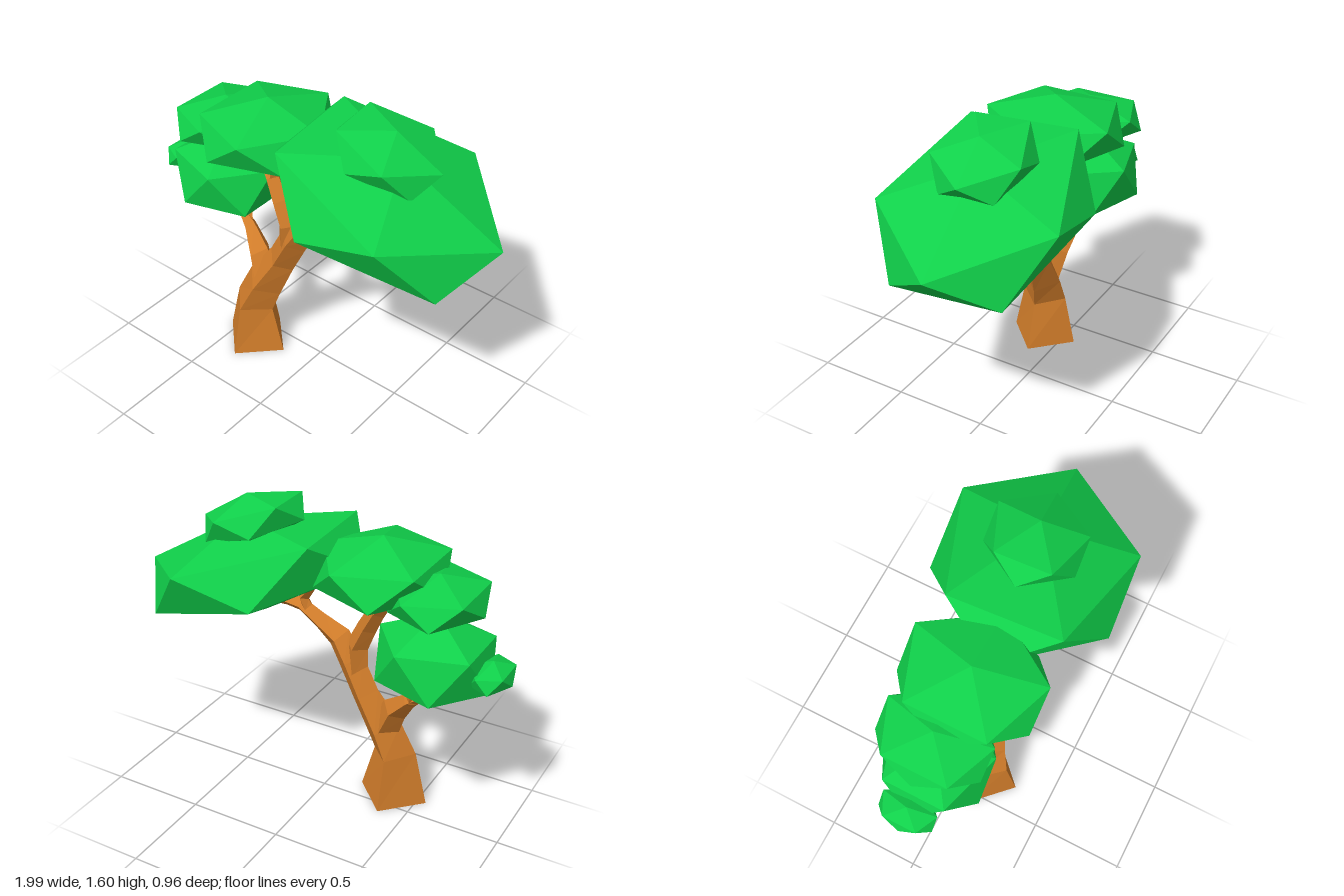
import * as THREE from 'three';

const bark = new THREE.MeshStandardMaterial({ color: 0xd07c2a, flatShading: true });
const leaf = new THREE.MeshStandardMaterial({ color: 0x10d04a, flatShading: true });

function facetedMesh(name, triangles, material) {
  const geometry = new THREE.BufferGeometry().setFromPoints(triangles);
  geometry.computeVertexNormals();
  const mesh = new THREE.Mesh(geometry, material);
  mesh.name = name;
  return mesh;
}

// Four-sided tapering limb; each station is [x, y, z, side radius, depth radius]
function limb(name, stations) {
  const zAxis = new THREE.Vector3(0, 0, 1);
  const centres = stations.map(([x, y, z]) => new THREE.Vector3(x, y, z));
  const last = centres.length - 1;
  const rings = centres.map((c, i) => {
    const along = centres[Math.min(i + 1, last)].clone().sub(centres[Math.max(i - 1, 0)]);
    const side = along.cross(zAxis).normalize();
    const [, , , rs, rz = rs] = stations[i];
    return [[0, 1], [1, 0], [0, -1], [-1, 0]].map(([s, d]) =>
      c.clone().addScaledVector(side, s * rs).addScaledVector(zAxis, d * rz));
  });
  const tris = [];
  for (let i = 0; i < last; i++) {
    for (let k = 0; k < 4; k++) {
      const n = (k + 1) % 4;
      const [a, b, c, d] = [rings[i][k], rings[i][n], rings[i + 1][n], rings[i + 1][k]];
      tris.push(a, b, c, a, c, d);
    }
  }
  const [s, e] = [rings[0], rings[last]];
  tris.push(s[0], s[2], s[1], s[0], s[3], s[2], e[0], e[1], e[2], e[0], e[2], e[3]);
  return facetedMesh(name, tris, bark);
}

// Twenty-sided leaf clump, stretched along three axis vectors u, p (pole) and v
function clump(name, centre, u, p, v) {
  const [C, U, P, V] = [centre, u, p, v].map(a => new THREE.Vector3(...a));
  const h = 1 / Math.sqrt(5);
  const at = (k, y) => C.clone().addScaledVector(P, y)
    .addScaledVector(U, 2 * h * Math.cos(k * Math.PI * 0.4))
    .addScaledVector(V, 2 * h * Math.sin(k * Math.PI * 0.4));
  const top = C.clone().add(P), bottom = C.clone().sub(P);
  const tris = [];
  for (let k = 0; k < 5; k++) {
    const u0 = at(k, h), u1 = at(k + 1, h), l0 = at(k + 0.5, -h), l1 = at(k + 1.5, -h);
    tris.push(top, u1, u0, u0, u1, l0, u1, l1, l0, bottom, l0, l1);
  }
  return facetedMesh(name, tris, leaf);
}

const uprightClump = (name, centre, rx, ry, rz) =>
  clump(name, centre, [rx, 0, 0], [0, ry, 0], [0, 0, rz]);

export function createModel() {
  const tree = new THREE.Group();
  tree.name = 'tree';

  // Trunk and branches
  tree.add(
    limb('trunk', [
      [-0.36, 0, 0.115, 0.19], [-0.36, 0.275, 0.115, 0.12, 0.13], [-0.3, 0.42, 0.095, 0.108, 0.108],
      [-0.2, 0.6, 0.073, 0.082, 0.075], [-0.11, 0.77, 0.08, 0.08, 0.07], [-0.04, 0.88, 0.085, 0.075, 0.06],
      [0.07, 0.945, 0.085, 0.05], [0.18, 1.01, 0.085, 0.04], [0.27, 1.02, 0.08, 0.033], [0.53, 0.995, 0.06, 0.01],
    ]),
    limb('rightTwig', [[0.14, 0.99, 0.085, 0.035], [0.17, 1.06, 0.08, 0.033], [0.08, 1.17, 0.06, 0.015]]),
    limb('upperBranch', [
      [-0.15, 0.7, 0.075, 0.06], [-0.145, 0.86, 0.08, 0.06], [-0.2, 0.98, 0.075, 0.052],
      [-0.26, 1.09, 0.06, 0.045], [-0.31, 1.145, 0.05, 0.033], [-0.45, 1.22, 0.02, 0.015],
    ]),
    limb('upperTwig', [[-0.255, 1.07, 0.06, 0.035], [-0.235, 1.15, 0.06, 0.03], [-0.12, 1.27, 0.05, 0.015]]),
    limb('lowerBranch', [
      [-0.31, 0.42, 0.085, 0.08], [-0.375, 0.565, 0.055, 0.07], [-0.47, 0.665, 0.015, 0.04],
      [-0.53, 0.71, 0, 0.025], [-0.62, 0.75, 0, 0.012],
    ]),
    limb('lowerTwig', [[-0.49, 0.67, 0.005, 0.03], [-0.5, 0.73, -0.015, 0.022], [-0.46, 0.81, -0.045, 0.01]]),
  );

  // Foliage
  tree.add(
    uprightClump('lowerLeaves', [-0.605, 0.955, 0], 0.33, 0.245, 0.308),
    uprightClump('outerLeaves', [-0.9, 0.953, -0.005], 0.112, 0.075, 0.168),
    uprightClump('upperLeaves', [-0.61, 1.283, 0], 0.257, 0.117, 0.317),
    uprightClump('middleLeaves', [-0.3, 1.345, 0.03], 0.358, 0.167, 0.4),
    clump('crownLeaves', [0.4, 1.225, 0], [0.628, -0.204, -0.065], [0.074, 0.235, 0], [0.046, -0.02, 0.541]),
    clump('topLeaves', [0.4, 1.472, 0], [0.288, -0.093, -0.03], [0.035, 0.119, 0], [0.021, -0.01, 0.268]),
  );
  return tree;
}
